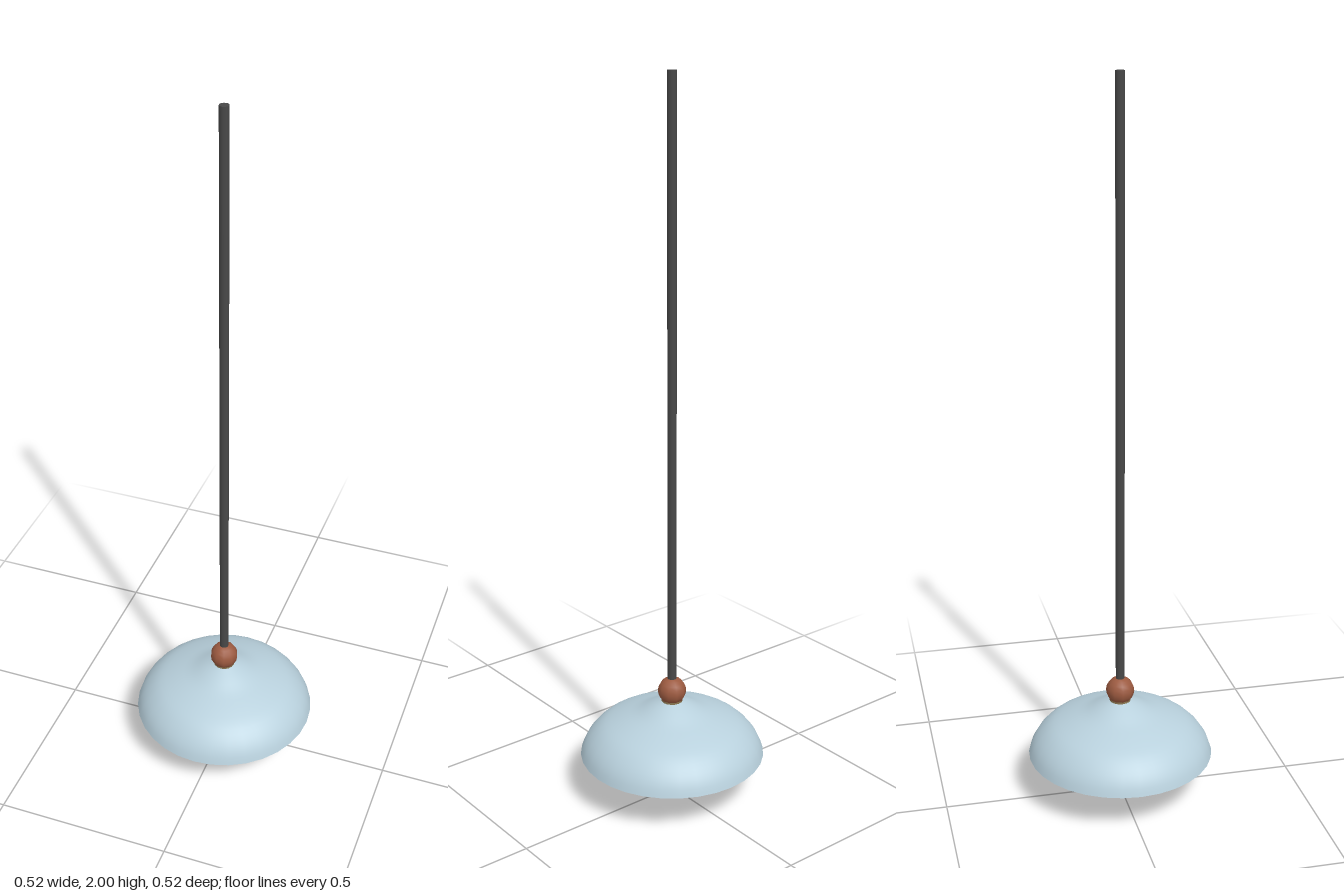
import * as THREE from 'three';

export function createModel() {
  const group = new THREE.Group();
  group.name = 'pendantLamp';

  const paint = (color, side = THREE.FrontSide) => new THREE.MeshStandardMaterial({ color, side });
  const steel = paint(0x484848);
  const copper = paint(0x9c5a40);
  const brass = paint(0x8a7650);
  const enamel = paint(0xb8d0dc, THREE.DoubleSide);
  const grey = paint(0xcccccc);

  const add = (name, geometry, material, y = 0) => {
    const mesh = new THREE.Mesh(geometry, material);
    mesh.name = name;
    mesh.position.y = y;
    group.add(mesh);
  };
  // Cylinder spanning bottom to top
  const post = (name, radius, bottom, top, sides, material) =>
    add(name, new THREE.CylinderGeometry(radius, radius, top - bottom, sides), material, (top + bottom) / 2);

  // Hanging rod, ball joint and collar
  post('rod', 0.0125, 0.31, 2, 16, steel);
  add('ballJoint', new THREE.SphereGeometry(0.04, 10, 10), copper, 0.31);
  post('collar', 0.03, 0.265, 0.287, 16, brass);

  // Bell-shaped shade: outer skin, inner skin and rim
  const outer = new THREE.SplineCurve([
    [0.26, 0.12], [0.249, 0.15], [0.228, 0.18], [0.195, 0.208],
    [0.148, 0.229], [0.1, 0.246], [0.06, 0.266], [0.028, 0.28],
  ].map(([r, y]) => new THREE.Vector2(r, y))).getPoints(20);
  const inner = outer.map((p) => new THREE.Vector2(p.x - 0.007, p.y - 0.006 * (p.y - 0.12) / 0.16)).reverse();
  const rim = [inner[inner.length - 1], outer[0]];
  add('shadeOuter', new THREE.LatheGeometry(outer, 32), enamel);
  add('shadeInner', new THREE.LatheGeometry(inner, 32), enamel);
  add('shadeRim', new THREE.LatheGeometry(rim, 32), enamel);

  // Socket, screw base and bulb
  post('socket', 0.043, 0.172, 0.262, 16, paint(0x8c8c8c));
  post('bulbBase', 0.037, 0.14, 0.172, 16, copper);
  add('bulb', new THREE.SphereGeometry(0.079, 24, 16), grey, 0.079);

  return group;
}
